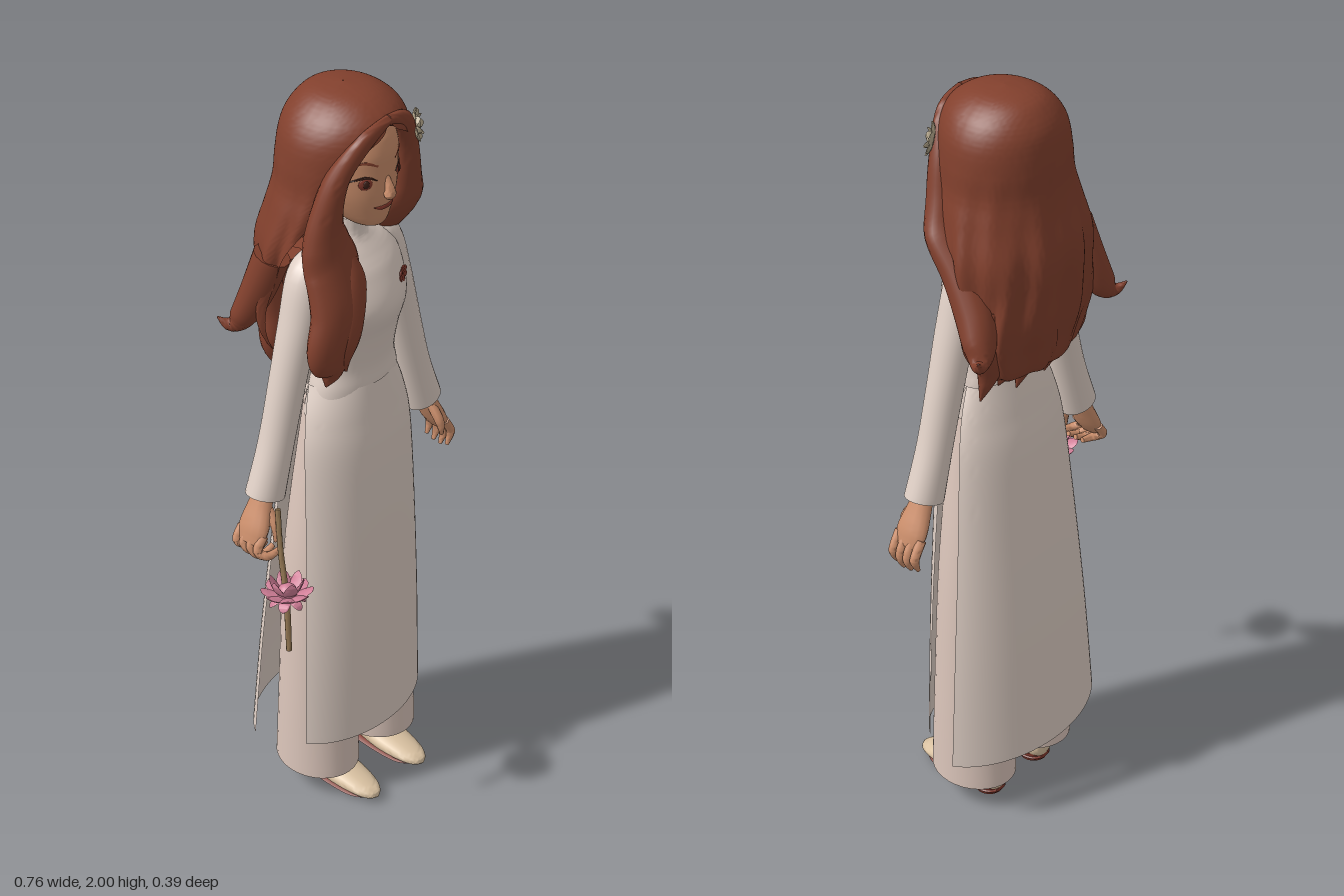
import * as THREE from 'three';
import { toCreasedNormals } from 'three/addons/utils/BufferGeometryUtils.js';

const paint = (name, color, side = THREE.FrontSide) => {
  const m = new THREE.MeshStandardMaterial({ color, side });
  m.name = name;
  return m;
};
const V = (x, y, z) => new THREE.Vector3(x, y, z);

// Smooth interpolation of rows of numbers, t in 0..1
function sample(rows, t) {
  const f = t * (rows.length - 1), i = Math.min(Math.floor(f), rows.length - 2), u = f - i;
  const g = k => rows[Math.max(0, Math.min(rows.length - 1, k))];
  return rows[0].map((_, c) => {
    const a = g(i - 1)[c], b = g(i)[c], d = g(i + 1)[c], e = g(i + 2)[c];
    return b + 0.5 * u * (d - a + u * (2 * a - 5 * b + 4 * d - e + u * (3 * (b - d) + e - a)));
  });
}

// Skin over a grid of points; columns run counter-clockwise, rows run upward
function skinGrid(grid, closed) {
  const n = grid[0].length, index = [];
  for (let i = 0; i < grid.length - 1; i++)
    for (let j = 0; j < (closed ? n : n - 1); j++) {
      const a = i * n + j, b = i * n + (j + 1) % n;
      index.push(a, b, b + n, a, b + n, a + n);
    }
  const g = new THREE.BufferGeometry().setFromPoints(grid.flat());
  g.setIndex(index);
  return toCreasedNormals(g, 1.0);
}

// Upright body from rows of [y, half width, front z, back z, centre x]
function loft(rows, steps = 40, n = 40) {
  const grid = [];
  for (let i = -1; i <= steps + 1; i++) {
    const [y, rx, zf, zb, cx = 0] = sample(rows, Math.max(0, Math.min(1, i / steps)));
    const k = i < 0 || i > steps ? 0 : 1;
    grid.push(Array.from({ length: n }, (_, j) => {
      const a = j / n * Math.PI * 2;
      return V(cx + k * rx * Math.sin(a), y, (zf + zb) / 2 + k * (zf - zb) / 2 * Math.cos(a));
    }));
  }
  return skinGrid(grid, true);
}

// Tapered strand from rows of [x, y, z, half width, half depth]
function strand(rows, ref = V(0, 0, 1), n = 14) {
  const steps = (rows.length - 1) * 6, grid = [];
  for (let i = -1; i <= steps + 1; i++) {
    const t = Math.max(0, Math.min(1, i / steps)), p = sample(rows, t);
    const T = V(...sample(rows, Math.min(1, t + 0.01))).sub(V(...sample(rows, Math.max(0, t - 0.01)))).normalize();
    const Z = ref.clone().addScaledVector(T, -ref.dot(T)).normalize(), X = T.clone().cross(Z);
    const k = i < 0 || i > steps ? 0 : 1;
    grid.push(Array.from({ length: n }, (_, j) => {
      const a = j / n * Math.PI * 2;
      return V(p[0], p[1], p[2])
        .addScaledVector(X, k * Math.max(0.0005, p[3]) * Math.sin(a))
        .addScaledVector(Z, k * Math.max(0.0005, p[4]) * Math.cos(a));
    }));
  }
  return skinGrid(grid, true);
}

function add(parent, name, geometry, material) {
  const m = new THREE.Mesh(geometry, material);
  m.name = name;
  parent.add(m);
  return m;
}
function ball(parent, name, material, pos, scale, turn = 0) {
  const m = add(parent, name, new THREE.SphereGeometry(1, 18, 12), material);
  m.position.set(...pos);
  m.scale.set(...scale);
  m.rotation.y = turn;
}

// Flower opening toward +y; rings of [count, reach, rise, petal half width]
function bloom(parent, name, material, rings) {
  const g = new THREE.Group();
  g.name = name;
  rings.forEach(([count, reach, rise, w], r) => {
    const petal = strand([[0, 0, 0, w * 0.3, 0.002], [0, rise * 0.3, reach * 0.55, w, 0.004],
      [0, rise * 0.75, reach * 0.9, w * 0.75, 0.003], [0, rise, reach, 0, 0]], V(0, 1, -0.2), 8);
    for (let i = 0; i < count; i++)
      add(g, name + 'Petal', petal, material).rotation.y = (i + r * 0.5) / count * Math.PI * 2;
  });
  parent.add(g);
  return g;
}

export function createModel() {
  const hair = paint('hair auburn', 0x82402d, THREE.DoubleSide);
  const skin = paint('skin', 0xcc8f6c);
  const dress = paint('dress cream', 0xdfcfc5, THREE.DoubleSide);
  const trouser = paint('trouser cream', 0xdcc6bb);
  const shoe = paint('shoe beige', 0xd9c1a1);
  const red = paint('dark red', 0x82382c);
  const pink = paint('lotus pink', 0xd17f98);
  const stemMat = paint('stem brown', 0x8f7350);
  const ornament = paint('hair flower beige', 0xb3a58a);
  const dark = paint('lash dark', 0x3c1f18);

  const model = new THREE.Group(), body = new THREE.Group();
  model.name = 'woman';
  body.name = 'body';
  body.position.x = 0.012;
  model.add(body);

  // Head, neck and face
  add(body, 'head', loft([[1.675, 0.015, 0.1, 0.05], [1.688, 0.045, 0.114, 0.01], [1.72, 0.072, 0.122, -0.05],
    [1.77, 0.094, 0.129, -0.09], [1.83, 0.103, 0.13, -0.11], [1.88, 0.102, 0.128, -0.11],
    [1.93, 0.085, 0.108, -0.1], [1.97, 0.04, 0.05, -0.05]]), skin);
  add(body, 'neck', loft([[1.6, 0.04, 0.04, -0.04], [1.66, 0.034, 0.036, -0.036], [1.74, 0.036, 0.045, -0.04]], 12, 24), skin);
  add(body, 'nose', strand([[0, 1.815, 0.124, 0.007, 0.006], [0, 1.785, 0.136, 0.011, 0.012],
    [0, 1.77, 0.136, 0.016, 0.013], [0, 1.76, 0.127, 0.006, 0.004]]), skin);
  add(body, 'mouth', strand([[-0.034, 1.742, 0.114, 0.001, 0.002], [-0.015, 1.736, 0.124, 0.005, 0.003],
    [0.015, 1.736, 0.124, 0.005, 0.003], [0.034, 1.742, 0.114, 0.001, 0.002]], V(0, 0, 1), 8), red);

  for (const s of [-1, 1]) {
    const side = s > 0 ? 'left' : 'right';
    // Eyes and brows
    ball(body, side + 'Iris', red, [s * 0.054, 1.808, 0.111], [0.017, 0.015, 0.004], s * 0.55);
    ball(body, side + 'Pupil', dark, [s * 0.054, 1.808, 0.1135], [0.008, 0.01, 0.004], s * 0.55);
    add(body, side + 'Lash', strand([[s * 0.03, 1.814, 0.124, 0.001, 0.002], [s * 0.054, 1.825, 0.112, 0.004, 0.003],
      [s * 0.08, 1.816, 0.087, 0.001, 0.002]], V(0, 0, 1), 6), dark);
    add(body, side + 'Brow', strand([[s * 0.028, 1.85, 0.125, 0.003, 0.002], [s * 0.056, 1.862, 0.11, 0.004, 0.003],
      [s * 0.082, 1.852, 0.082, 0.001, 0.002]], V(0, 0, 1), 6), hair);

    // Sleeves
    add(body, side + 'Sleeve', strand([[s * 0.09, 1.585, -0.005, 0.03, 0.04], [s * 0.125, 1.55, -0.003, 0.048, 0.05],
      [s * 0.16, 1.44, 0, 0.047, 0.048], [s * 0.2, 1.29, 0, 0.046, 0.044], [s * 0.24, 1.14, 0, 0.045, 0.043],
      [s * 0.28, 1.01, 0, 0.052, 0.046]], V(0, 0, 1), 24), dress);

    // Hands: the right one grips the stem
    add(body, side + 'Palm', strand([[s * 0.278, 1.03, 0, 0.022, 0.024], [s * 0.298, 0.985, 0, 0.022, 0.034],
      [s * 0.322, 0.935, 0.002, 0.021, 0.044], [s * 0.338, 0.9, 0.003, 0.014, 0.036]]), skin);
    for (let k = 0; k < 4; k++) {
      const z = -0.033 + k * 0.023, d = Math.abs(k - 1.6) * 0.008;
      add(body, side + 'Finger', strand(s > 0
        ? [[0.328, 0.925, z, 0.012, 0.013], [0.349, 0.89, z, 0.012, 0.012], [0.352, 0.86 + d, z, 0.011, 0.011], [0.34, 0.832 + d, z, 0.005, 0.005]]
        : [[-0.325, 0.925, z, 0.012, 0.013], [-0.345, 0.892, z, 0.012, 0.012], [-0.33, 0.868 + d, z + 0.02, 0.011, 0.011], [-0.295, 0.885, z + 0.025, 0.007, 0.007]],
      V(0, 0, 1), 8), skin);
    }
    add(body, side + 'Thumb', strand([[s * 0.293, 0.985, 0.02, 0.012, 0.012], [s * 0.295, 0.945, 0.048, 0.012, 0.012],
      [s * 0.3, 0.905, 0.052, 0.005, 0.005]], V(1, 0, 0), 8), skin);

    // Wide trouser legs
    add(body, side + 'TrouserLeg', loft([[0.072, 0.1, 0.118, -0.113, s * 0.108], [0.35, 0.097, 0.108, -0.1, s * 0.105],
      [0.75, 0.09, 0.098, -0.09, s * 0.092], [1.18, 0.068, 0.082, -0.055, s * 0.062]], 20, 32), trouser);

    // Shoes with ankle, sole and heel
    const foot = new THREE.Group();
    foot.name = side + 'Foot';
    foot.position.x = s * 0.088;
    body.add(foot);
    const up = V(0, 1, 0);
    add(foot, 'ankle', loft([[0.04, 0.032, 0.03, -0.055], [0.18, 0.035, 0.03, -0.045]], 4, 16), skin);
    add(foot, 'shoe', strand([[0, 0.043, -0.074, 0.015, 0.018], [0, 0.043, -0.06, 0.038, 0.032], [0, 0.043, 0.01, 0.045, 0.033],
      [0, 0.036, 0.08, 0.05, 0.028], [0, 0.028, 0.15, 0.04, 0.019], [0, 0.023, 0.185, 0.024, 0.012], [0, 0.021, 0.199, 0.003, 0.003]], up, 20), shoe);
    add(foot, 'sole', strand([[0, 0.011, -0.07, 0.02, 0.006], [0, 0.011, -0.04, 0.04, 0.008], [0, 0.009, 0.06, 0.045, 0.007],
      [0, 0.009, 0.14, 0.037, 0.006], [0, 0.013, 0.185, 0.005, 0.003]], up, 16), red);
    add(foot, 'heel', loft([[0, 0.036, 0.005, -0.068], [0.025, 0.038, 0.01, -0.072]], 2, 20), red);
  }

  // Fitted bodice with high collar
  add(body, 'bodice', loft([[1.16, 0.14, 0.1, -0.065], [1.24, 0.127, 0.106, -0.056], [1.3, 0.113, 0.106, -0.05],
    [1.38, 0.12, 0.12, -0.06], [1.46, 0.135, 0.138, -0.072], [1.54, 0.14, 0.108, -0.078], [1.585, 0.118, 0.078, -0.072],
    [1.615, 0.075, 0.056, -0.055], [1.635, 0.046, 0.048, -0.044], [1.675, 0.04, 0.046, -0.042]], 60, 48), dress);

  // Long front and back panels: [y, radius x, radius z, half angle]
  const panel = (rows, turn) => {
    const grid = [];
    for (let i = 0; i <= 40; i++) {
      const [y, rx, rz, edge] = sample(rows, i / 40);
      grid.push(Array.from({ length: 33 }, (_, j) => {
        const a = turn + edge * (j / 16 - 1);
        return V(rx * Math.sin(a), y, rz * Math.cos(a));
      }));
    }
    return skinGrid(grid, false);
  };
  add(body, 'frontPanel', panel([[0.2, 0.231, 0.15, 1.16], [0.5, 0.22, 0.148, 1.18], [0.8, 0.204, 0.142, 1.22],
    [1.05, 0.187, 0.132, 1.3], [1.16, 0.164, 0.12, 1.4], [1.25, 0.127, 0.109, 1.57]], 0), dress);
  add(body, 'backPanel', panel([[0.2, 0.285, 0.188, 1.21], [0.5, 0.258, 0.165, 1.22], [0.8, 0.224, 0.136, 1.25],
    [1.05, 0.192, 0.108, 1.32], [1.16, 0.165, 0.084, 1.42], [1.25, 0.127, 0.06, 1.57]], Math.PI), dress);

  // Brooch on the chest
  const brooch = bloom(body, 'brooch', red, [[6, 0.022, 0.004, 0.009]]);
  brooch.position.set(0.08, 1.51, 0.106);
  brooch.rotation.set(Math.PI / 2, 0, -0.4);

  // Main hair: [y, centre x, centre z, radius x, front, back, half opening]
  const hairRows = [[1.36, 0.015, -0.07, 0.1, 0.02, 0.03, 1.65], [1.31, 0.015, -0.07, 0.15, 0.04, 0.075, 1.62],
    [1.39, 0.015, -0.062, 0.195, 0.05, 0.1, 1.58], [1.48, 0.015, -0.06, 0.215, 0.06, 0.122, 1.52],
    [1.56, 0.015, -0.05, 0.205, 0.08, 0.14, 1.42], [1.64, 0.015, -0.035, 0.2, 0.1, 0.152, 1.25],
    [1.72, 0.015, -0.02, 0.185, 0.12, 0.152, 1.02], [1.78, 0.016, -0.015, 0.168, 0.135, 0.147, 0.86],
    [1.84, 0.017, -0.015, 0.162, 0.145, 0.145, 0.72], [1.89, 0.018, -0.015, 0.154, 0.15, 0.14, 0.5],
    [1.925, 0.019, -0.015, 0.14, 0.147, 0.132, 0.15], [1.955, 0.02, -0.015, 0.118, 0.13, 0.115, 0],
    [1.98, 0.02, -0.015, 0.085, 0.095, 0.09, 0], [1.993, 0.02, -0.015, 0.05, 0.055, 0.055, 0], [2, 0.02, -0.015, 0.001, 0.001, 0.001, 0]];
  const hairGrid = [];
  for (let i = 0; i <= 84; i++) {
    const [y, cx, cz, rx, rf, rb, open] = sample(hairRows, i / 84);
    const wave = 0.045 * Math.max(0, Math.min(1, (1.85 - y) / 0.35)), a0 = Math.max(0, open);
    hairGrid.push(Array.from({ length: 97 }, (_, j) => {
      const a = a0 + (2 * Math.PI - 2 * a0) * j / 96, c = Math.cos(a);
      const k = 1 + wave * (Math.sin(11 * a + 5 * y) + 0.5 * Math.sin(17 * a - 9 * y) + 0.5 * Math.sin(28 * y));
      return V(cx + k * rx * Math.sin(a), y, cz + k * c * (c > 0 ? rf : rb));
    }));
  }
  add(model, 'hairMass', skinGrid(hairGrid, false), hair);

  // Locks framing the face: right one falls on the chest, left one behind the shoulder
  add(model, 'rightFrontLock', strand([[0.025, 1.95, 0.118, 0.012, 0.01], [-0.05, 1.92, 0.115, 0.024, 0.016],
    [-0.105, 1.84, 0.085, 0.028, 0.028], [-0.128, 1.74, 0.07, 0.045, 0.035], [-0.128, 1.67, 0.07, 0.068, 0.04],
    [-0.122, 1.6, 0.085, 0.08, 0.042], [-0.142, 1.51, 0.112, 0.072, 0.042], [-0.172, 1.43, 0.118, 0.062, 0.036],
    [-0.165, 1.37, 0.118, 0.04, 0.026], [-0.185, 1.335, 0.122, 0.002, 0.002]], V(0, 0, 1), 20), hair);
  add(model, 'rightChestCurl', strand([[-0.09, 1.64, 0.09, 0.02, 0.02], [-0.09, 1.57, 0.115, 0.04, 0.026],
    [-0.12, 1.47, 0.138, 0.036, 0.022], [-0.138, 1.4, 0.13, 0.028, 0.02], [-0.115, 1.345, 0.122, 0.002, 0.002]]), hair);
  add(model, 'leftFrontLock', strand([[0.02, 1.95, 0.118, 0.012, 0.01], [0.085, 1.92, 0.108, 0.024, 0.016],
    [0.128, 1.84, 0.08, 0.028, 0.028], [0.148, 1.74, 0.06, 0.042, 0.036], [0.155, 1.66, 0.035, 0.07, 0.042],
    [0.175, 1.58, -0.03, 0.06, 0.045], [0.2, 1.5, -0.085, 0.05, 0.045], [0.225, 1.44, -0.12, 0.042, 0.035],
    [0.255, 1.42, -0.145, 0.018, 0.018], [0.278, 1.445, -0.162, 0.002, 0.002]], V(0, 0, 1), 20), hair);
  add(model, 'rightBackFlick', strand([[-0.16, 1.6, -0.07, 0.045, 0.045], [-0.18, 1.5, -0.1, 0.045, 0.04],
    [-0.205, 1.43, -0.125, 0.036, 0.03], [-0.228, 1.41, -0.145, 0.018, 0.016], [-0.248, 1.43, -0.165, 0.002, 0.002]]), hair);

  // Pointed locks along the lower back
  for (let i = -3; i <= 3; i++) {
    const x = 0.015 + i * 0.05, z = 0.012 * Math.abs(i), drop = (i + 4) % 2 * 0.025;
    add(model, 'backLock', strand([[x, 1.52, -0.145 + z, 0.03, 0.025], [x + 0.008, 1.42, -0.138 + z, 0.04, 0.03],
      [x - 0.006, 1.34, -0.125 + z, 0.032, 0.026], [x + 0.012, 1.285 - drop, -0.113 + z, 0.002, 0.002]]), hair);
  }

  // Flower in the hair
  const clip = bloom(model, 'hairFlower', ornament, [[7, 0.04, 0.012, 0.015], [5, 0.024, 0.02, 0.011]]);
  clip.position.set(0.145, 1.875, 0.088);
  clip.quaternion.setFromUnitVectors(V(0, 1, 0), V(0.6, 0.2, 0.77).normalize());
  ball(clip, 'hairFlowerCentre', ornament, [0, 0.008, 0], [0.01, 0.008, 0.01]);

  // Lotus held in the right hand
  add(model, 'lotusStem', strand([[-0.282, 1.0, 0.055, 0.007, 0.007], [-0.3, 0.9, 0.08, 0.007, 0.007],
    [-0.318, 0.78, 0.115, 0.008, 0.008], [-0.332, 0.64, 0.135, 0.007, 0.007]], V(0, 0, 1), 10), stemMat);
  const lotus = bloom(model, 'lotus', pink, [[8, 0.064, 0.022, 0.02], [6, 0.042, 0.055, 0.018], [6, 0.045, -0.022, 0.014]]);
  lotus.position.set(-0.318, 0.79, 0.118);
  lotus.rotation.set(-0.12, 0, -0.1);
  ball(lotus, 'lotusHeart', pink, [0, 0.012, 0], [0.024, 0.024, 0.024]);

  return model;
}
